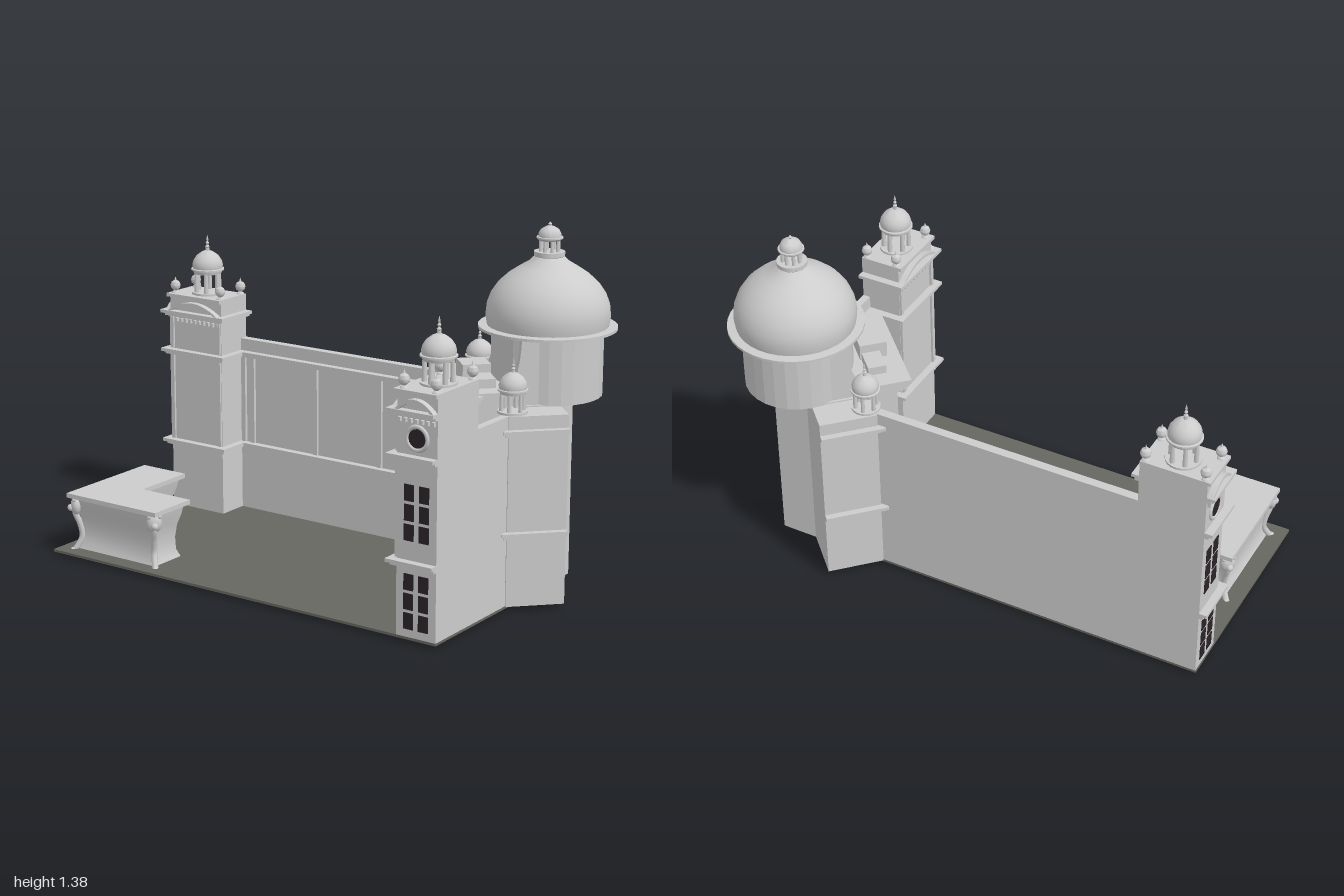
import * as THREE from 'three';
import { toCreasedNormals } from 'three/addons/utils/BufferGeometryUtils.js';

const stone = new THREE.MeshStandardMaterial({ color: 0xcccccc });
stone.name = 'pale stone';
const dark = new THREE.MeshStandardMaterial({ color: 0x676761 });
dark.name = 'dark floor';
const glass = new THREE.MeshStandardMaterial({ color: 0x2b2329 });
glass.name = 'dark glass';

function add(parent, name, geo, mat = stone) {
  const m = new THREE.Mesh(geo, mat);
  m.name = name;
  parent.add(m);
  return m;
}

function group(parent, name, x = 0, y = 0, z = 0) {
  const g = new THREE.Group();
  g.name = name;
  g.position.set(x, y, z);
  parent.add(g);
  return g;
}

// box given by its limits
function box(parent, name, x0, x1, y0, y1, z0, z1, mat) {
  const geo = new THREE.BoxGeometry(x1 - x0, y1 - y0, z1 - z0);
  geo.translate((x0 + x1) / 2, (y0 + y1) / 2, (z0 + z1) / 2);
  return add(parent, name, geo, mat);
}

function lathe(parent, name, pts, seg = 20) {
  const geo = new THREE.LatheGeometry(pts.map(p => new THREE.Vector2(p[0], p[1])), seg);
  return add(parent, name, toCreasedNormals(geo, 0.6));
}

// upright prism from a footprint of [x, z] points
function prism(parent, name, pts, y0, y1) {
  const shape = new THREE.Shape(pts.map(p => new THREE.Vector2(p[0], -p[1])));
  const geo = new THREE.ExtrudeGeometry(shape, { depth: y1 - y0, bevelEnabled: false });
  geo.rotateX(-Math.PI / 2).translate(0, y0, 0);
  return add(parent, name, geo);
}

// two-step moulding; out = how far it projects on [-x, +x, -z, +z]
function cornice(parent, x0, x1, z0, z1, y, out) {
  [[0, 0.55, 0.011], [0.011, 1, 0.013]].forEach(([dy, k, h]) =>
    box(parent, 'cornice', x0 - out[0] * k, x1 + out[1] * k, y + dy, y + dy + h,
      z0 - out[2] * k, z1 + out[3] * k));
}

// open domed kiosk standing on y = 0, with total scale s
function kiosk(parent, x, y, z, s) {
  const g = group(parent, 'domedKiosk', x, y, z);
  g.scale.setScalar(s);
  lathe(g, 'kioskBase', [[0, 0], [0.066, 0], [0.066, 0.01], [0, 0.01]]);
  for (let i = 0; i < 6; i++) {
    const a = (i + 0.5) * Math.PI / 3;
    const c = add(g, 'kioskColumn', new THREE.CylinderGeometry(0.008, 0.01, 0.09, 8));
    c.position.set(Math.cos(a) * 0.049, 0.05, Math.sin(a) * 0.049);
  }
  lathe(g, 'kioskDome', [[0, 0.086], [0.056, 0.086], [0.06, 0.1], [0.067, 0.1], [0.067, 0.106],
    [0.06, 0.108], [0.062, 0.122], [0.057, 0.14], [0.045, 0.158], [0.025, 0.173], [0.008, 0.18],
    [0.008, 0.19], [0, 0.19]]);
  lathe(g, 'kioskFinial', [[0.005, 0.185], [0.009, 0.195], [0.004, 0.202], [0.007, 0.21],
    [0.003, 0.217], [0.005, 0.223], [0, 0.243]], 10);
}

// curved pediment in the xy plane, facing +z
function pediment(parent, halfWidth) {
  const g = group(parent, 'curvedPediment');
  const s = new THREE.Shape();
  s.moveTo(-halfWidth, 0);
  s.quadraticCurveTo(0, 0.085, halfWidth, 0);
  s.lineTo(halfWidth - 0.015, 0);
  s.quadraticCurveTo(0, 0.06, -halfWidth + 0.015, 0);
  add(g, 'pedimentArch', new THREE.ExtrudeGeometry(s, { depth: 0.024, bevelEnabled: false, curveSegments: 16 }));
  const n = Math.round(halfWidth / 0.011);
  for (let i = 0; i < n; i++) {
    const x = -halfWidth + (i + 0.5) * 2 * halfWidth / n;
    box(g, 'dentil', x - 0.005, x + 0.005, -0.046, -0.03, 0, 0.012);
  }
  return g;
}

// tower: end face +z, plain outer face on the side of x = outer
function tower(parent, x, z, turn, outer) {
  const t = group(parent, 'tower', x, 0, z);
  t.rotation.y = turn;
  const w = 0.0825, d = 0.13;
  box(t, 'towerBody', -w, w, 0.02, 0.91, -d, d);
  const l = outer < 0 ? 0 : 0.03, r = 0.03 - l;
  for (const y of [0.28, 0.662, 0.823]) cornice(t, -w, w, -d, d, y, [l, r, 0.03, 0.03]);
  box(t, 'towerRoofEdge', -w - l * 0.4, w + r * 0.4, 0.9, 0.914, -d, d + 0.01);
  pediment(t, w - 0.002).position.set(0, 0.847, d);
  const side = pediment(t, d - 0.004);
  side.position.set(-outer * w, 0.847, 0);
  side.rotation.y = -outer * Math.PI / 2;
  // inner face pilasters
  const xf = -outer * (w + 0.004);
  for (const [y0, y1] of [[0.306, 0.662], [0.69, 0.823]])
    for (const s of [-1, 1])
      box(t, 'towerPilaster', xf - 0.005, xf + 0.005, y0, y1, s * 0.119 - 0.009, s * 0.119 + 0.009);
  // windows of the end face
  for (const y of [0.05, 0.375])
    for (let i = 0; i < 3; i++)
      for (const s of [-1, 1])
        box(t, 'windowPane', s * 0.031 - 0.02, s * 0.031 + 0.02, y + i * 0.072, y + i * 0.072 + 0.06, d - 0.003, d + 0.003, glass);
  add(t, 'roundWindowFrame', new THREE.TorusGeometry(0.042, 0.008, 8, 28)).position.set(0, 0.747, d);
  const pane = add(t, 'roundWindow', new THREE.CylinderGeometry(0.034, 0.034, 0.008, 16), glass);
  pane.rotation.x = Math.PI / 2;
  pane.position.set(0, 0.747, d);
  // roof ornaments
  kiosk(t, 0, 0.912, 0, 1);
  for (const sx of [-1, 1]) for (const sz of [-1, 1])
    lathe(t, 'cornerBall', [[0, 0], [0.016, 0], [0.014, 0.006], [0.007, 0.012], [0.018, 0.022], [0.021, 0.034],
      [0.016, 0.047], [0.005, 0.054], [0, 0.07]], 14).position.set(sx * 0.066, 0.912, sz * 0.115);
}

// diagonal corner gatehouse with the large dome; entrance faces local +z
function gatehouse(parent) {
  const g = group(parent, 'gatehouse', 0.74, 0, -0.31);
  g.rotation.y = -Math.PI / 4;
  prism(g, 'gatehouseBody', [[-0.32, 0], [-0.105, 0], [0, -0.103], [0.105, 0], [0.32, 0], [0.32, 0.22],
    [0.195, 0.22], [0.195, 0.05], [-0.195, 0.05], [-0.195, 0.22], [-0.32, 0.22]], 0.02, 0.735);
  // entrance block with arch
  const s = new THREE.Shape();
  s.moveTo(-0.2, 0.02).lineTo(-0.125, 0.02).lineTo(-0.125, 0.43);
  s.absarc(0, 0.43, 0.125, Math.PI, 0, true);
  s.lineTo(0.125, 0.02).lineTo(0.2, 0.02).lineTo(0.2, 0.74).lineTo(-0.2, 0.74);
  const front = add(g, 'entranceBlock', new THREE.ExtrudeGeometry(s, { depth: 0.28, bevelEnabled: false, curveSegments: 20 }));
  front.position.z = 0.05;
  const trim = new THREE.Shape();
  trim.moveTo(-0.15, 0.02).lineTo(-0.125, 0.02).lineTo(-0.125, 0.43);
  trim.absarc(0, 0.43, 0.125, Math.PI, 0, true);
  trim.lineTo(0.125, 0.02).lineTo(0.15, 0.02).lineTo(0.15, 0.43);
  trim.absarc(0, 0.43, 0.15, 0, Math.PI, false);
  add(g, 'archMoulding', new THREE.ExtrudeGeometry(trim, { depth: 0.012, bevelEnabled: false, curveSegments: 20 })).position.z = 0.328;
  box(g, 'lowGate', -0.1, 0.1, 0.02, 0.155, 0.27, 0.3, dark);
  // flared terrace
  [[0.735, 0.205], [0.752, 0.214], [0.768, 0.224], [0.784, 0.232]].forEach(([y, h]) =>
    box(g, 'terraceStep', -h, h, y, y + 0.017, 0.17, h + 0.146));
  box(g, 'parapetCentre', -0.055, 0.055, 0.8, 0.865, 0.225, 0.33);
  for (const m of [-1, 1]) {
    box(g, 'parapetBlock', m * 0.11 - 0.05, m * 0.11 + 0.05, 0.8, 0.835, 0.23, 0.3);
    cornice(g, m < 0 ? -0.32 : 0.2, m < 0 ? -0.2 : 0.32, 0, 0.22, 0.28, [m < 0 ? 0.025 : 0, m > 0 ? 0.025 : 0, 0, 0.025]);
    cornice(g, m < 0 ? -0.32 : 0.2, m < 0 ? -0.2 : 0.32, 0, 0.22, 0.662, [m < 0 ? 0.025 : 0, m > 0 ? 0.025 : 0, 0, 0.025]);
    kiosk(g, m * 0.26, 0.735, 0.193, 0.83);
    // scroll buttress against the drum
    const b = new THREE.Shape();
    b.moveTo(0.04, 0.735).lineTo(0.235, 0.735);
    b.bezierCurveTo(0.19, 0.78, 0.15, 0.83, 0.145, 0.985);
    b.lineTo(0.04, 0.985);
    const geo = new THREE.ExtrudeGeometry(b, { depth: 0.03, bevelEnabled: false });
    geo.rotateY(-Math.PI / 2).translate(m * 0.175 + 0.015, 0, 0);
    add(g, 'scrollButtress', geo);
  }
  // drum, dome and lantern
  const drum = new THREE.CylinderGeometry(0.207, 0.207, 0.255, 28).toNonIndexed();
  drum.computeVertexNormals();
  add(g, 'drum', drum).position.y = 0.8625;
  lathe(g, 'greatDome', [[0.2, 0.98], [0.257, 0.982], [0.257, 0.992], [0.224, 0.994], [0.23, 1.03], [0.226, 1.07],
    [0.211, 1.11], [0.185, 1.148], [0.15, 1.18], [0.11, 1.207], [0.075, 1.228], [0.055, 1.248],
    [0.057, 1.25], [0.057, 1.266], [0, 1.266]], 36);
  for (let i = 0; i < 8; i++) {
    const a = i * Math.PI / 4;
    const c = add(g, 'lanternColumn', new THREE.CylinderGeometry(0.006, 0.007, 0.05, 8));
    c.position.set(Math.cos(a) * 0.034, 1.289, Math.sin(a) * 0.034);
  }
  lathe(g, 'lanternDome', [[0, 1.306], [0.04, 1.306], [0.049, 1.314], [0.049, 1.319], [0.042, 1.32], [0.042, 1.331],
    [0.034, 1.346], [0.016, 1.357], [0.005, 1.361], [0.007, 1.366], [0, 1.375]], 18);
}

// L-shaped counter with a curved skirt and lion-headed legs
function counter(parent) {
  const g = group(parent, 'counter');
  const L = [[-0.93, 0.02, 1, 1], [-0.72, 0.02, -1, 1], [-0.72, 0.28, -1, 1],
    [-0.485, 0.28, -1, 1], [-0.485, 0.49, -1, -1], [-0.93, 0.49, 1, -1]];
  prism(g, 'counterTop', L, 0.228, 0.246);
  const rows = [[0.02, 0.028], [0.05, 0.04], [0.1, 0.042], [0.15, 0.036], [0.19, 0.024], [0.23, 0.016]];
  const pos = [], idx = [];
  rows.forEach(([y, d]) => L.forEach(([x, z, sx, sz]) => pos.push(x + sx * d, y, z + sz * d)));
  for (let j = 0; j < rows.length - 1; j++)
    for (let i = 0; i < 6; i++) {
      const a = j * 6 + i, b = j * 6 + (i + 1) % 6;
      idx.push(a, b + 6, b, a, a + 6, b + 6);
    }
  const skirt = new THREE.BufferGeometry();
  skirt.setAttribute('position', new THREE.Float32BufferAttribute(pos, 3));
  skirt.setIndex(idx);
  add(g, 'counterSkirt', toCreasedNormals(skirt, 0.7));
  for (const [x, z, turn] of [[-0.895, 0.455, -45], [-0.52, 0.455, 45], [-0.895, 0.055, -135]]) {
    const leg = group(g, 'lionLeg', x, 0, z);
    leg.rotation.y = turn * Math.PI / 180;
    const path = new THREE.CatmullRomCurve3([[0.215, 0.012], [0.17, 0.018], [0.12, 0.0], [0.07, -0.008], [0.035, 0.008], [0.012, 0.024]]
      .map(p => new THREE.Vector3(0, p[0], p[1])));
    add(leg, 'legCurve', new THREE.TubeGeometry(path, 20, 0.012, 8));
    const paw = add(leg, 'paw', new THREE.SphereGeometry(0.015, 10, 8));
    paw.scale.set(1, 0.8, 1.3);
    paw.position.set(0, 0.012, 0.026);
    const mane = add(leg, 'mane', new THREE.SphereGeometry(0.03, 14, 10));
    mane.scale.set(1, 1.25, 0.7);
    mane.position.set(0, 0.195, 0.014);
    add(leg, 'muzzle', new THREE.SphereGeometry(0.014, 10, 8)).position.set(0, 0.187, 0.034);
    for (const m of [-1, 1])
      add(leg, 'ear', new THREE.SphereGeometry(0.008, 8, 6)).position.set(m * 0.02, 0.222, 0.022);
  }
}

export function createModel() {
  const model = new THREE.Group();
  model.name = 'palaceCourtyard';
  box(model, 'floor', -0.97, 0.805, 0.01, 0.02, -0.375, 0.53, dark);

  // back wall with panels
  box(model, 'backWall', -0.75, 0.5, 0.02, 0.735, -0.375, -0.34);
  for (const y of [0.28, 0.662]) cornice(model, -0.7, 0.42, -0.345, -0.34, y, [0, 0, 0, 0.03]);
  for (const x of [-0.69, -0.645, -0.33, -0.02, 0.29, 0.36])
    box(model, 'wallPilaster', x - 0.01, x + 0.01, 0.306, 0.662, -0.341, -0.328);

  // side wall
  box(model, 'sideWall', 0.775, 0.805, 0.02, 0.735, 0.02, 0.3);
  for (const y of [0.28, 0.662]) cornice(model, 0.775, 0.78, 0.06, 0.28, y, [0.03, 0, 0, 0]);
  for (const z of [0.11, 0.23])
    box(model, 'wallPilaster', 0.763, 0.776, 0.306, 0.662, z - 0.01, z + 0.01);

  tower(model, 0.7225, 0.4, 0, 1);
  tower(model, -0.838, -0.2925, -Math.PI / 2, -1);
  gatehouse(model);
  counter(model);
  return model;
}
